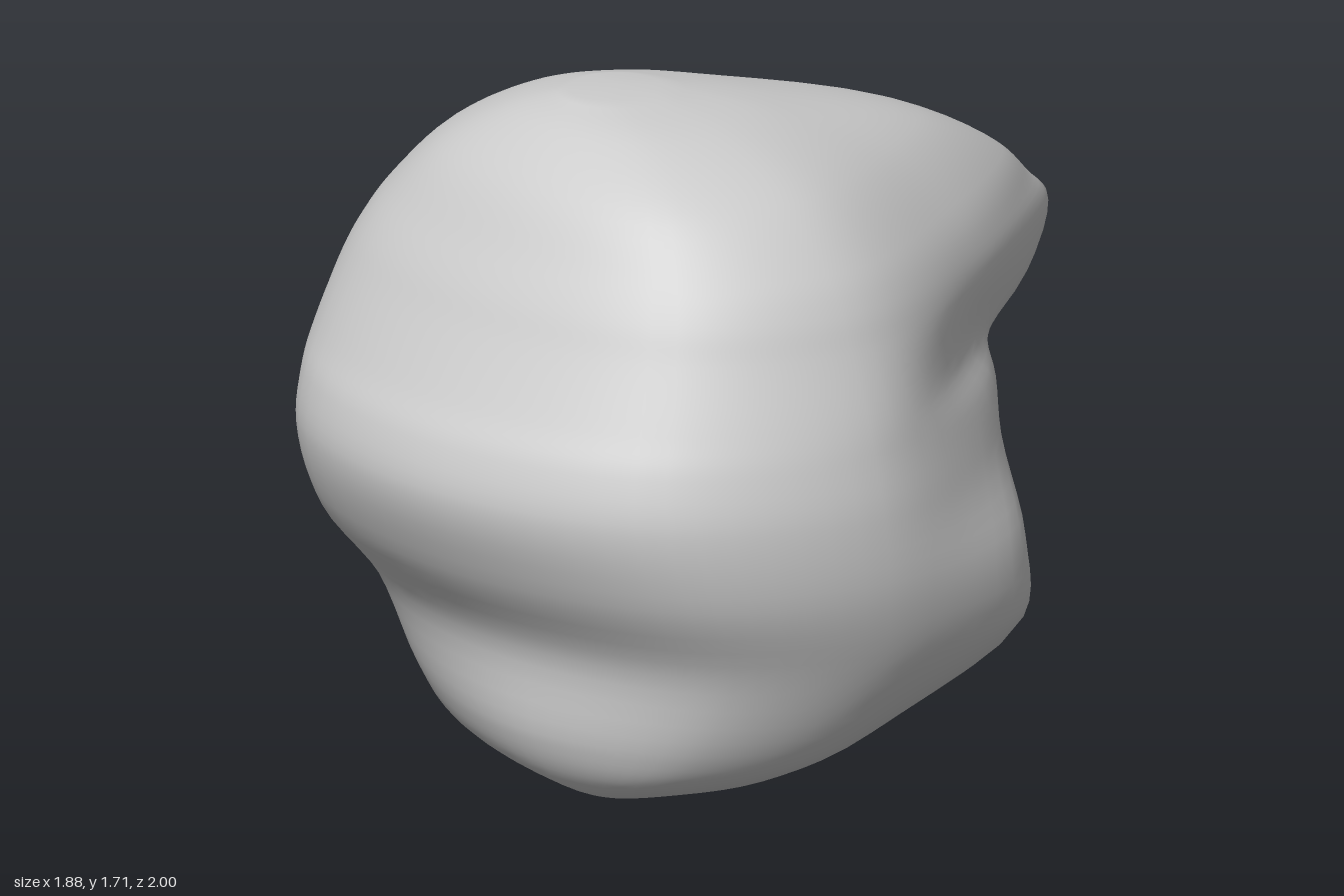
import * as THREE from 'three';

// Horizontal sections, bottom to top:
// y, right x, left x, front z, rear corner x z, rear middle x z, rear lobe x z
const SECTIONS = [
  [0, 0.24, 0.16, 0.57, 0.23, 0.53, 0.2, 0.53, 0.17, 0.53],
  [0.04, 0.42, -0.12, 0.67, 0.38, 0.42, 0.2, 0.41, -0.05, 0.45],
  [0.1, 0.62, -0.53, 0.73, 0.5, 0.24, 0.06, 0.33, -0.4, 0.3],
  [0.2, 0.77, -0.73, 0.77, 0.61, 0.01, 0.02, 0.23, -0.56, 0.11],
  [0.42, 0.9, -0.86, 0.79, 0.77, -0.33, 0.01, 0.09, -0.62, -0.06],
  [0.62, 0.94, -0.92, 0.92, 0.74, -0.36, -0.01, -0.02, -0.64, -0.12],
  [0.82, 0.92, -0.94, 0.995, 0.53, -0.46, -0.02, -0.22, -0.65, -0.16],
  [0.96, 0.885, -0.935, 0.97, 0.42, -0.55, 0.1, -0.55, -0.6, -0.2],
  [1.06, 0.855, -0.925, 0.915, 0.47, -0.48, 0.15, -0.84, -0.53, -0.26],
  [1.22, 0.79, -0.88, 0.83, 0.54, -0.41, 0.13, -1, -0.48, -0.32],
  [1.31, 0.75, -0.835, 0.785, 0.53, -0.38, 0.13, -0.91, -0.47, -0.31],
  [1.4, 0.69, -0.77, 0.73, 0.49, -0.34, 0.12, -0.81, -0.44, -0.28],
  [1.55, 0.53, -0.61, 0.63, 0.38, -0.22, 0.08, -0.53, -0.36, -0.2],
  [1.66, 0.27, -0.4, 0.49, 0.2, -0.03, 0, -0.13, -0.26, -0.03],
  [1.71, 0, -0.22, 0.36, -0.04, 0.14, -0.1, 0.12, -0.18, 0.14],
];
const AROUND = 72, STEPS = 5;

// One closed loop; the rear middle is a pair of points, closest at the spike tip
function sectionLoop([y, xr, xl, zf, cx, cz, gx, gz, lx, lz]) {
  const mid = (xr + xl) / 2;
  const zs = 0.2 + 0.35 * Math.max(0, 1 - y / 0.25);
  const gap = Math.min(0.02 + 0.25 * Math.abs(y - 1.22), 0.1, (xr - xl) * 0.12);
  // fullness of the rounded front, fading on the lower left
  const low = Math.max(0, 1 - y / 0.6);
  const kr = 0.73, kl = 0.73 - 0.15 * low;
  const pts = [
    [gx + gap, gz], [cx, cz], [xr, zs],
    [mid + (xr - mid) * kr, zs + (zf - zs) * kr],
    [mid + (xr - xl) * 0.08 * low, zf],
    [mid + (xl - mid) * kl, zs + (zf - zs) * kl], [xl, zs],
    [lx, lz], [gx - gap, gz],
  ].map(([x, z]) => new THREE.Vector3(x, y, z));
  return new THREE.CatmullRomCurve3(pts, true, 'centripetal').getPoints(AROUND).slice(0, AROUND);
}

// Smooth skin through the loops, closed at the top and bottom
function skin(loops) {
  const rows = (loops.length - 1) * STEPS;
  const columns = loops[0].map((_, j) =>
    new THREE.CatmullRomCurve3(loops.map((l) => l[j]), false, 'centripetal').getPoints(rows));
  const pos = [], index = [];
  for (let i = 0; i <= rows; i++) {
    for (let j = 0; j < AROUND; j++) pos.push(...columns[j][i].toArray());
  }
  for (let i = 0; i < rows; i++) {
    for (let j = 0; j < AROUND; j++) {
      const a = i * AROUND + j, b = i * AROUND + (j + 1) % AROUND;
      index.push(a, a + AROUND, b, b, a + AROUND, b + AROUND);
    }
  }
  for (const [row, loop] of [[0, loops[0]], [rows, loops[loops.length - 1]]]) {
    const c = loop.reduce((s, p) => s.add(p), new THREE.Vector3()).divideScalar(AROUND);
    const centre = pos.length / 3;
    pos.push(c.x, c.y, c.z);
    for (let j = 0; j < AROUND; j++) {
      const a = row * AROUND + j, b = row * AROUND + (j + 1) % AROUND;
      index.push(...(row ? [b, a, centre] : [a, b, centre]));
    }
  }
  const geo = new THREE.BufferGeometry();
  geo.setAttribute('position', new THREE.Float32BufferAttribute(pos, 3));
  geo.setIndex(index);
  geo.computeVertexNormals();
  return geo;
}

export function createModel() {
  const group = new THREE.Group();
  const body = new THREE.Mesh(
    skin(SECTIONS.map(sectionLoop)),
    new THREE.MeshStandardMaterial({ color: 0xcccccc }),
  );
  body.name = 'body';
  group.add(body);
  return group;
}
